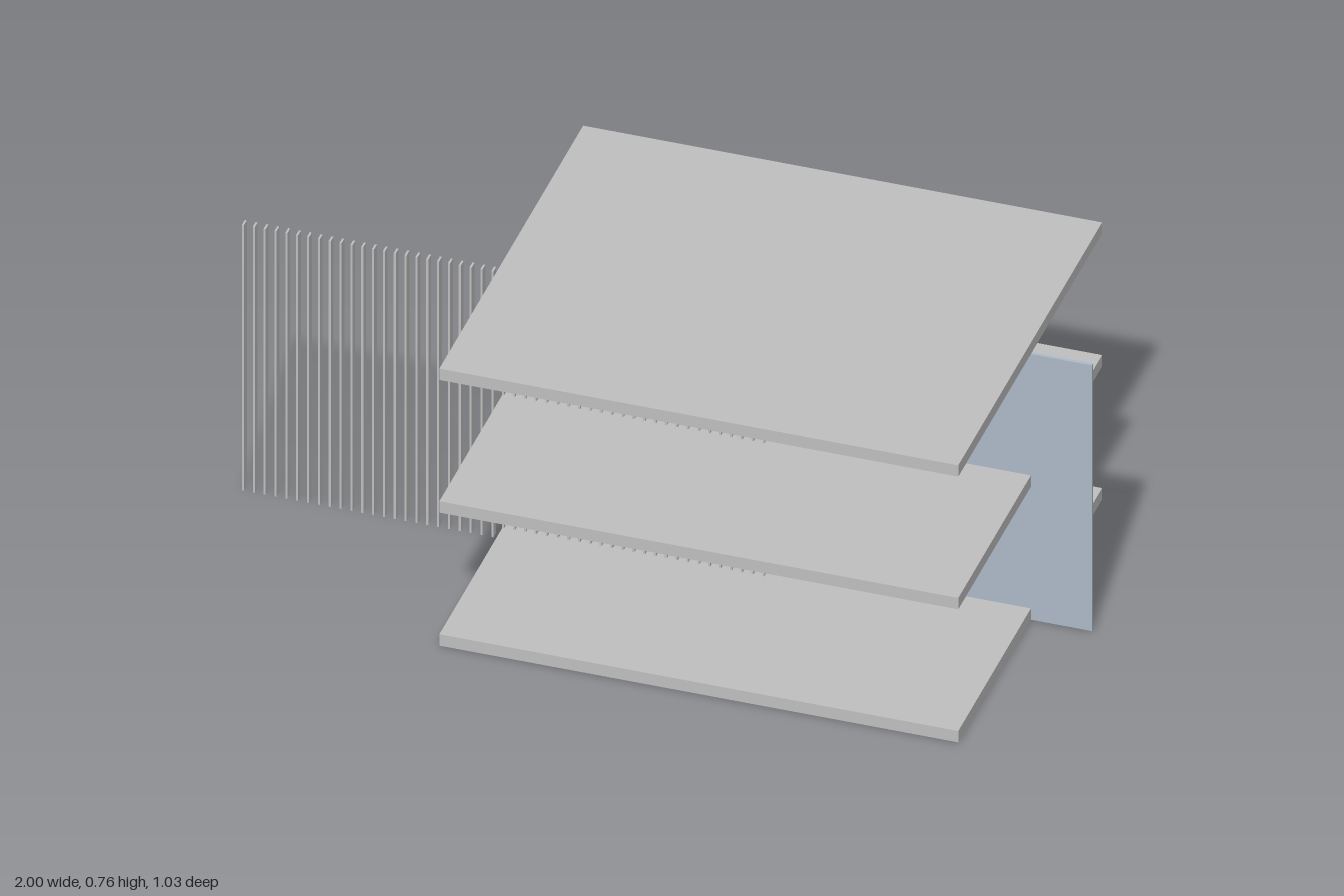
import * as THREE from 'three';

const concrete = new THREE.MeshStandardMaterial({ color: 0xc0c0c0 });
concrete.name = 'light grey';
const glass = new THREE.MeshStandardMaterial({ color: 0xadbac8 });
glass.name = 'pale blue';

// Box given by its minimum and maximum on each axis
function block(name, material, [x0, x1], [y0, y1], [z0, z1]) {
  const mesh = new THREE.Mesh(new THREE.BoxGeometry(x1 - x0, y1 - y0, z1 - z0), material);
  mesh.position.set((x0 + x1) / 2, (y0 + y1) / 2, (z0 + z1) / 2);
  mesh.name = name;
  return mesh;
}

export function createModel() {
  const model = new THREE.Group();
  model.name = 'layeredPavilion';

  // Three floor slabs
  const slabs = new THREE.Group();
  slabs.name = 'slabs';
  for (const y of [0, 0.363, 0.725]) {
    slabs.add(block('slab', concrete, [-0.38, 0.855], [y, y + 0.031], [-0.515, 0.515]));
  }
  model.add(slabs);

  // Overlapping wall panels, the front one reaching past the slabs
  const height = [0, 0.725];
  model.add(block('frontPanel', glass, [-0.38, 1], height, [-0.013, -0.005]));
  model.add(block('backPanel', glass, [-0.23, 0.854], [0.005, 0.725], [-0.019, -0.013]));

  // Screen of upright slats sliding out to the side
  const screen = new THREE.Group();
  screen.name = 'slatScreen';
  const count = 49, pitch = 0.0258, thickness = 0.005;
  for (let i = 0; i < count; i++) {
    const x = -1 + i * pitch;
    screen.add(block('slat', concrete, [x, x + thickness], height, [0.043, 0.063]));
  }
  model.add(screen);

  return model;
}
